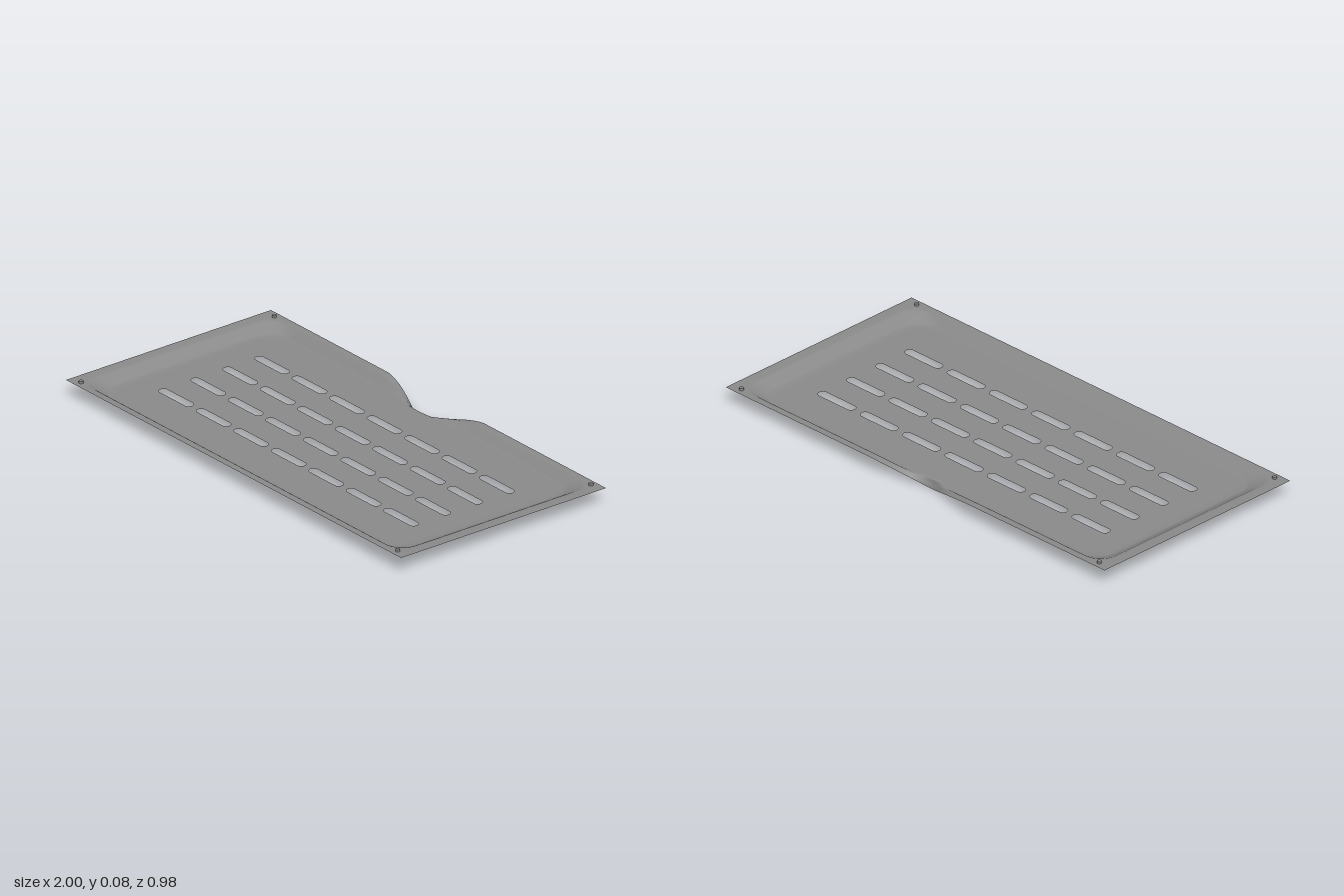
import * as THREE from 'three';

const HALF_W = 1, HALF_D = 0.49, RIM_Y = 0.067, FLOOR_Y = 0.037;

// Cross-section rings from floor to rim: half width, half depth, corner radius,
// height, and how far the bent back edge shifts in (dz) and down (dy)
const RINGS = [
  { w: 0.86, d: 0.395, r: 0.08, y: FLOOR_Y, dz: 0.005, dy: 0 },
  { w: 0.89, d: 0.425, r: 0.1, y: FLOOR_Y, dz: 0.02, dy: 0 },
  { w: 0.905, d: 0.432, r: 0.1, y: 0.041, dz: 0.025, dy: 0.008 },
  { w: 0.945, d: 0.455, r: 0.08, y: 0.064, dz: 0.047, dy: 0.041 },
  { w: 0.96, d: 0.462, r: 0.07, y: RIM_Y, dz: 0.053, dy: 0.048 },
  { w: HALF_W, d: HALF_D, r: 0, y: RIM_Y, dz: 0.075, dy: 0.067 },
];

// Strength of the dent along the back edge
function dent(x) {
  const a = Math.hypot(x + 0.015, 0.03) - 0.03;
  return Math.pow(Math.max(0, 1 - a / 0.26), 1.5);
}

// Points around the outer rectangle, counterclockwise seen from above
function rectanglePoints() {
  const corners = [[-1, 1], [1, 1], [1, -1], [-1, -1]];
  const points = [];
  corners.forEach(([ax, az], i) => {
    const [bx, bz] = corners[(i + 1) % 4];
    const n = i % 2 ? 60 : 120;
    for (let k = 0; k < n; k++) {
      const t = k / n;
      points.push([(ax + (bx - ax) * t) * HALF_W, (az + (bz - az) * t) * HALF_D]);
    }
  });
  return points;
}

// Pull the rectangle in to a rounded rectangle, then apply the dent
function ringPoints(ring) {
  return rectanglePoints().map(([px, pz]) => {
    let x = px, z = pz;
    if (ring.r > 0) {
      const cx = THREE.MathUtils.clamp(px, -(ring.w - ring.r), ring.w - ring.r);
      const cz = THREE.MathUtils.clamp(pz, -(ring.d - ring.r), ring.d - ring.r);
      const len = Math.hypot(px - cx, pz - cz);
      x = cx + (px - cx) / len * ring.r;
      z = cz + (pz - cz) / len * ring.r;
    }
    const s = z < -0.3 ? dent(x) : 0;
    return [x, ring.y - ring.dy * s, z + ring.dz * s];
  });
}

// Sloped wall and flat rim lofted through the rings
function loft(rings) {
  const n = rings[0].length, position = [], index = [];
  rings.forEach(r => r.forEach(p => position.push(...p)));
  for (let j = 0; j < rings.length - 1; j++) {
    for (let i = 0; i < n; i++) {
      const a = j * n + i, b = j * n + (i + 1) % n;
      index.push(a, a + n, b, b, a + n, b + n);
    }
  }
  const geometry = new THREE.BufferGeometry();
  geometry.setAttribute('position', new THREE.Float32BufferAttribute(position, 3));
  geometry.setIndex(index);
  geometry.computeVertexNormals();
  return geometry;
}

function slot(x, y) {
  const half = 0.093, r = 0.0185, path = new THREE.Path();
  path.absarc(x + half - r, y, r, -Math.PI / 2, Math.PI / 2, false);
  path.absarc(x - half + r, y, r, Math.PI / 2, Math.PI * 1.5, false);
  path.closePath();
  return path;
}

export function createModel() {
  const group = new THREE.Group();
  const metal = new THREE.MeshStandardMaterial({ color: 0x8a8a8a, side: THREE.DoubleSide });
  metal.name = 'grey metal';
  const add = (name, geometry) => {
    const mesh = new THREE.Mesh(geometry, metal);
    mesh.name = name;
    group.add(mesh);
    return mesh;
  };

  const rings = RINGS.map(ringPoints);
  add('rimAndWalls', loft(rings));

  // Recessed floor with four rows of seven slots
  const floor = new THREE.Shape(rings[0].map(([x, , z]) => new THREE.Vector2(x, -z)));
  for (const z of [-0.232, -0.08, 0.073, 0.226]) {
    for (let c = -3; c <= 3; c++) floor.holes.push(slot(c * 0.2237, -z));
  }
  add('slottedFloor', new THREE.ShapeGeometry(floor, 8).rotateX(-Math.PI / 2))
    .position.y = FLOOR_Y;

  // Corner fasteners
  for (const sx of [-1, 1]) {
    for (const sz of [-1, 1]) {
      add('cornerFastener', new THREE.CylinderGeometry(0.009, 0.009, 0.009, 12))
        .position.set(sx * 0.945, RIM_Y + 0.0045, sz * 0.462);
    }
  }
  return group;
}
